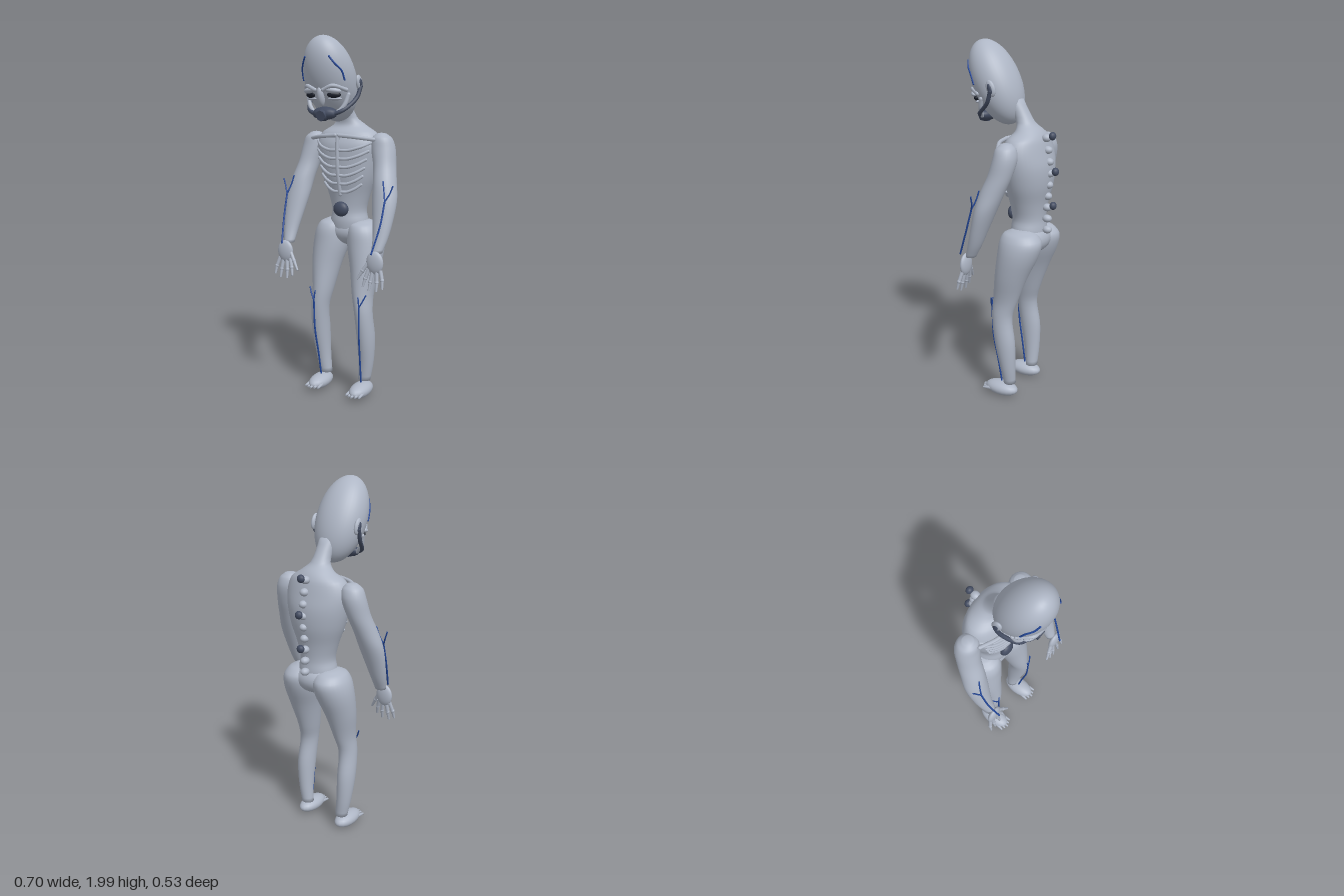
import * as THREE from 'three';

const mat = (name, color) => {
  const m = new THREE.MeshStandardMaterial({ color });
  m.name = name;
  return m;
};
const V = (x, y, z) => new THREE.Vector3(x, y, z);

// Torso sections, bottom to top: centre x, y, z, half width, half depth
const TORSO = [
  [0, 0.92, -0.105, 0.11, 0.09], [0, 1.0, -0.1, 0.112, 0.095], [0, 1.06, -0.1, 0.1, 0.09],
  [0, 1.15, -0.1, 0.122, 0.1], [0, 1.25, -0.1, 0.16, 0.122], [0, 1.35, -0.098, 0.185, 0.128],
  [0, 1.43, -0.09, 0.192, 0.12], [0, 1.495, -0.095, 0.165, 0.098], [0, 1.535, -0.1, 0.1, 0.07],
  [0, 1.58, -0.075, 0.053, 0.05], [0, 1.7, -0.005, 0.047, 0.047],
];
const LEG = [
  [0.128, 0.09, -0.05, 0.036, 0.034], [0.142, 0.2, -0.045, 0.043, 0.045], [0.148, 0.35, -0.03, 0.05, 0.06],
  [0.142, 0.5, -0.01, 0.05, 0.06], [0.13, 0.6, -0.025, 0.058, 0.073], [0.125, 0.75, -0.06, 0.084, 0.095],
  [0.11, 0.88, -0.095, 0.104, 0.118], [0.102, 0.95, -0.105, 0.098, 0.12], [0.095, 0.99, -0.1, 0.078, 0.095],
  [0.09, 1.01, -0.1, 0.04, 0.05],
];
const ARM = [
  [0.28, 0.88, 0.1, 0.03, 0.028], [0.285, 0.95, 0.07, 0.042, 0.037], [0.283, 1.04, 0.04, 0.057, 0.046],
  [0.275, 1.15, 0.005, 0.069, 0.058], [0.26, 1.24, -0.025, 0.064, 0.065], [0.24, 1.33, -0.06, 0.062, 0.065],
  [0.22, 1.42, -0.08, 0.067, 0.064], [0.212, 1.47, -0.08, 0.056, 0.053], [0.208, 1.495, -0.08, 0.028, 0.028],
];

// Smooth skin over horizontal elliptical sections, closed at both ends
function loft(rows, side = 1, seg = 28, sub = 4) {
  const centre = new THREE.CatmullRomCurve3(rows.map(r => V(r[0] * side, r[1], r[2])));
  const radius = new THREE.CatmullRomCurve3(rows.map(r => V(r[3], r[4], r[1])));
  const n = (rows.length - 1) * sub, pos = [], idx = [];
  for (let i = 0; i <= n; i++) {
    const c = centre.getPoint(i / n), r = radius.getPoint(i / n);
    for (let j = 0; j < seg; j++) {
      const a = j / seg * Math.PI * 2;
      pos.push(c.x + r.x * Math.cos(a), c.y, c.z + r.y * Math.sin(a));
    }
  }
  for (let i = 0; i < n; i++) for (let j = 0; j < seg; j++) {
    const a = i * seg + j, b = i * seg + (j + 1) % seg;
    idx.push(a, a + seg, b, b, a + seg, b + seg);
  }
  const bottom = pos.length / 3, lo = rows[0], hi = rows[rows.length - 1];
  pos.push(lo[0] * side, lo[1] - 0.005, lo[2], hi[0] * side, hi[1] + 0.005, hi[2]);
  for (let j = 0; j < seg; j++) {
    const k = (j + 1) % seg;
    idx.push(bottom, j, k, bottom + 1, n * seg + k, n * seg + j);
  }
  const g = new THREE.BufferGeometry();
  g.setAttribute('position', new THREE.Float32BufferAttribute(pos, 3));
  g.setIndex(idx);
  g.computeVertexNormals();
  return g;
}

// Front surface of the chest at a given x and y
function chestZ(x, y) {
  let i = 0;
  while (i < TORSO.length - 2 && TORSO[i + 1][1] < y) i++;
  const t = (y - TORSO[i][1]) / (TORSO[i + 1][1] - TORSO[i][1]);
  const [, , cz, rx, rz] = TORSO[i].map((v, k) => v + (TORSO[i + 1][k] - v) * t);
  return cz + rz * Math.sqrt(Math.max(0, 1 - (x / rx) ** 2));
}

// Tilted egg of the skull and its front surface
const HEAD = { y: 1.78, z: 0.103, w: 0.141, a: 0.238, b: 0.125, tilt: 0.454 };
function faceZ(x, y) {
  const c = Math.cos(HEAD.tilt), s = Math.sin(HEAD.tilt), d = y - HEAD.y;
  const A = (s / HEAD.a) ** 2 + (c / HEAD.b) ** 2;
  const B = 2 * d * c * s * (1 / HEAD.a ** 2 - 1 / HEAD.b ** 2);
  const C = (d * c / HEAD.a) ** 2 + (d * s / HEAD.b) ** 2 - 1 + (x / HEAD.w) ** 2;
  return HEAD.z + (-B + Math.sqrt(Math.max(0, B * B - 4 * A * C))) / (2 * A);
}

export function createModel() {
  const root = new THREE.Group();
  root.name = 'alienFigure';
  const skin = mat('paleSkin', 0xaeb6c5), dark = mat('darkSlate', 0x434c61);
  const vein = mat('blueVein', 0x24489a), black = mat('eyeBlack', 0x1b202b);

  const add = (name, geo, m) => {
    const mesh = new THREE.Mesh(geo, m);
    mesh.name = name;
    root.add(mesh);
    return mesh;
  };
  const ball = (name, m, p, r, rot = [0, 0, 0], seg = 20) => {
    const mesh = add(name, new THREE.SphereGeometry(1, seg, Math.ceil(seg * 0.7)), m);
    mesh.position.set(...p);
    mesh.scale.set(...r);
    mesh.rotation.set(...rot);
    return mesh;
  };
  const bar = (name, m, p, q, r0, r1) => {
    const a = V(...p), b = V(...q), d = b.clone().sub(a);
    const mesh = add(name, new THREE.CylinderGeometry(r1, r0, d.length(), 8), m);
    mesh.position.copy(a).add(b).multiplyScalar(0.5);
    mesh.quaternion.setFromUnitVectors(V(0, 1, 0), d.normalize());
    return mesh;
  };
  const tube = (name, m, pts, r) => {
    add(name, new THREE.TubeGeometry(new THREE.CatmullRomCurve3(pts.map(p => V(...p))), 16, r, 8), m);
    for (const p of [pts[0], pts[pts.length - 1]]) ball(name + 'End', m, p, [r, r, r], [0, 0, 0], 8);
  };

  // Body core
  add('torso', loft(TORSO, 1, 36), skin);
  ball('pelvis', skin, [0, 0.945, -0.11], [0.15, 0.085, 0.105]);
  ball('navelPort', dark, [0, 1.077, -0.002], [0.046, 0.042, 0.028]);
  ball('head', skin, [0, HEAD.y, HEAD.z], [HEAD.w, HEAD.a, HEAD.b], [HEAD.tilt, 0, 0], 40);

  // Face and breathing mask
  ball('nose', skin, [0, 1.69, 0.2], [0.02, 0.052, 0.022], [0.3, 0, 0]);
  ball('mask', dark, [0, 1.605, 0.16], [0.075, 0.034, 0.04], [0.3, 0, 0], 12);
  bar('maskFilter', dark, [0, 1.6, 0.16], [0, 1.592, 0.205], 0.035, 0.028);

  // Spine, with a dark stud on every third vertebra
  const spineZ = new THREE.CatmullRomCurve3([V(0, 1.505, -0.2), V(0, 1.32, -0.22), V(0, 1.13, -0.21), V(0, 1.005, -0.212)]);
  for (let i = 0; i < 9; i++) {
    const y = 1.505 - i * 0.0625, z = spineZ.getPoint(i / 8).z;
    ball('vertebra', skin, [0, y, z], [0.024, 0.021, 0.027], [0, 0, 0], 14);
    if (i % 3 === 0) ball('spineStud', dark, [0, y + 0.013, z - 0.036], [0.022, 0.022, 0.019], [0, 0, 0], 14);
  }

  // Sternum
  tube('sternum', skin, [[0, 1.485, 0.035], [0, 1.4, 0.037], [0, 1.28, 0.03], [0, 1.16, 0.006]], 0.011);

  for (const s of [1, -1]) {
    // Rib cage
    tube('collarbone', skin, [[0.012 * s, 1.485, 0.037], [0.1 * s, 1.478, 0.025], [0.192 * s, 1.465, -0.02]], 0.011);
    for (let i = 0; i < 6; i++) {
      const y = 1.405 - i * 0.046, w = 0.17 - i * 0.011;
      const pts = [0.02, 0.35, 0.7, 1].map(t => {
        const x = w * t, yy = y + 0.042 * t ** 1.3 - 0.012 * Math.sin(t * Math.PI);
        return [x * s, yy, chestZ(x, yy) + 0.004];
      });
      tube('rib', skin, pts, 0.0085);
    }

    // Eyes, lids and cheeks
    const onFace = (x, y, out = 0) => [x * s, y, faceZ(x, y) + out];
    ball('eye', black, onFace(0.07, 1.7, 0.002), [0.036, 0.017, 0.016], [0, 0.4 * s, 0]);
    ball('upperLid', skin, onFace(0.07, 1.722, 0.002), [0.045, 0.016, 0.02], [0, 0.4 * s, -0.12 * s]);
    ball('lowerLid', skin, onFace(0.07, 1.68, 0.004), [0.037, 0.009, 0.016], [0, 0.4 * s, 0]);
    tube('brow', skin, [onFace(0.025, 1.725, 0.004), onFace(0.075, 1.745, 0.006), onFace(0.122, 1.725, 0.004)], 0.011);
    tube('cheek', skin, [onFace(0.122, 1.7, 0.002), [0.105 * s, 1.645, 0.14], [0.068 * s, 1.605, 0.155]], 0.012);

    // Ears and mask hoses
    ball('ear', skin, [0.143 * s, 1.76, 0.052], [0.014, 0.044, 0.026], [0.35, 0, 0]);
    ball('earPlug', dark, [0.152 * s, 1.758, 0.052], [0.009, 0.028, 0.014], [0.35, 0, 0], 14);
    tube('maskHose', dark, [[0.05 * s, 1.6, 0.17], [0.1 * s, 1.62, 0.15], [0.142 * s, 1.685, 0.075], [0.152 * s, 1.745, 0.05]], 0.011);
    tube('templeVein', vein, [onFace(0.072, 1.89, 0.002), onFace(0.095, 1.855, 0.003), onFace(0.118, 1.82, 0.003), onFace(0.124, 1.775, 0.004)], 0.005);

    // Arm and its vein
    add('arm', loft(ARM, s), skin);
    const armFork = [0.31 * s, 1.15, 0.072];
    tube('armVein', vein, [armFork, [0.305 * s, 1.03, 0.11], [0.283 * s, 0.885, 0.167]], 0.005);
    tube('armVeinBranch', vein, [armFork, [0.33 * s, 1.19, 0.055], [0.345 * s, 1.23, 0.05]], 0.004);
    tube('armVeinBranch', vein, [armFork, [0.295 * s, 1.2, 0.052], [0.283 * s, 1.25, 0.04]], 0.004);

    // Hand with jointed fingers
    ball('palm', skin, [0.285 * s, 0.832, 0.13], [0.05, 0.062, 0.021]);
    const digits = [
      [0.32, 0.795, 0.336, 0.745, 0.341, 0.7], [0.298, 0.785, 0.304, 0.73, 0.306, 0.682],
      [0.274, 0.785, 0.266, 0.73, 0.262, 0.682], [0.252, 0.795, 0.236, 0.745, 0.226, 0.7],
      [0.248, 0.83, 0.22, 0.785, 0.19, 0.735],
    ];
    for (const [x0, y0, x1, y1, x2, y2] of digits) {
      const a = [x0 * s, y0, 0.132], b = [x1 * s, y1, 0.142], c = [x2 * s, y2, 0.152];
      bar('finger', skin, a, b, 0.011, 0.01);
      ball('knuckle', skin, b, [0.0115, 0.0115, 0.0115], [0, 0, 0], 10);
      bar('fingertip', skin, b, c, 0.01, 0.006);
    }

    // Leg and its vein
    add('leg', loft(LEG, s), skin);
    const legFork = [0.147 * s, 0.545, 0.053];
    tube('legVein', vein, [legFork, [0.145 * s, 0.38, 0.047], [0.138 * s, 0.22, 0.02], [0.134 * s, 0.09, 0]], 0.005);
    tube('legVeinBranch', vein, [legFork, [0.166 * s, 0.58, 0.047], [0.182 * s, 0.615, 0.037]], 0.004);
    tube('legVeinBranch', vein, [legFork, [0.144 * s, 0.575, 0.052], [0.14 * s, 0.6, 0.05]], 0.004);

    // Foot and toes
    ball('foot', skin, [0.135 * s, 0.047, 0], [0.055, 0.041, 0.102]);
    for (let i = -2; i <= 2; i++) {
      const x = (0.135 + i * 0.018) * s, z = 0.09 - Math.abs(i) * 0.008;
      bar('toe', skin, [x, 0.046, z - 0.03], [x + i * 0.003 * s, 0.04, z + 0.026], 0.012, 0.006);
    }
  }
  return root;
}
